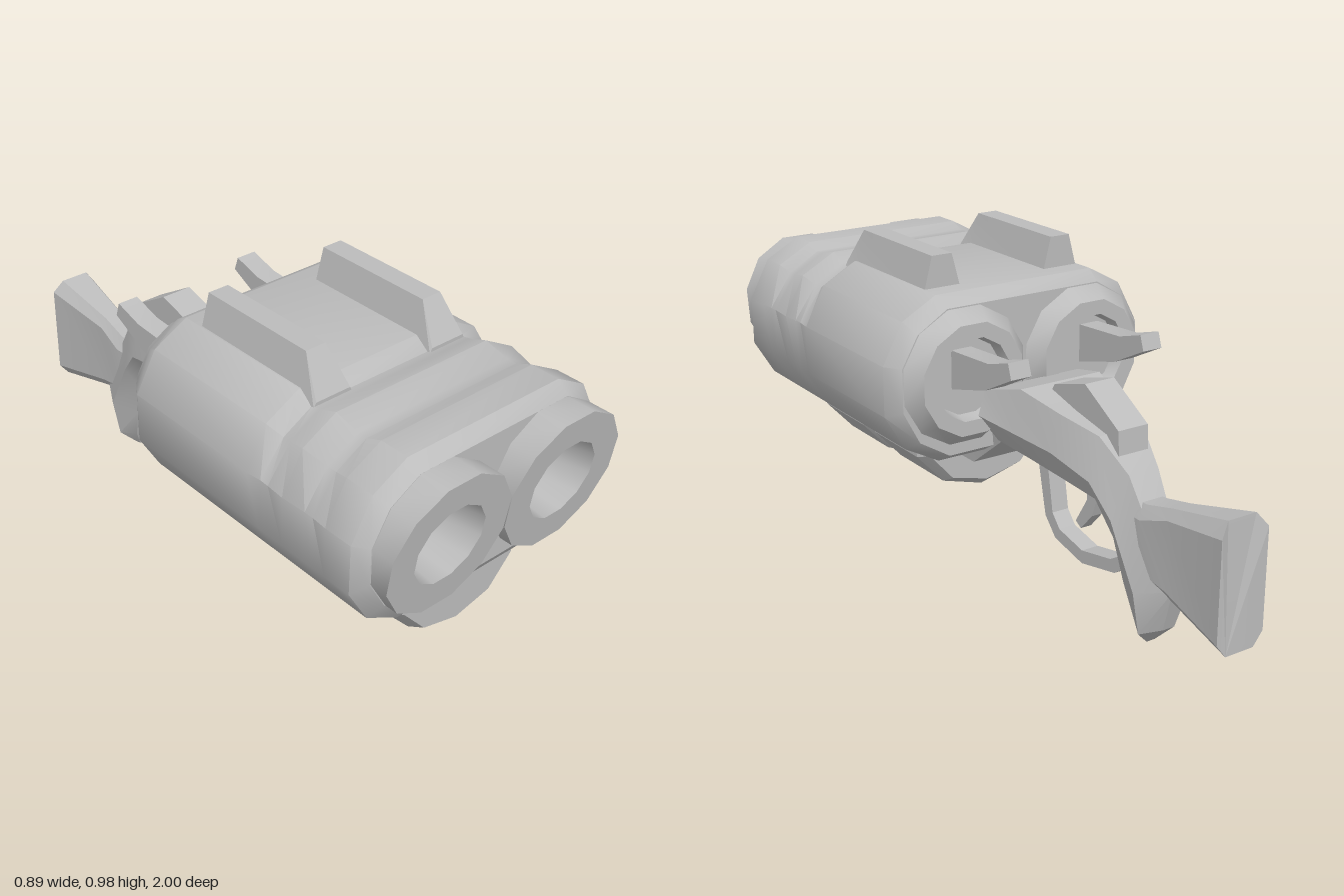
import * as THREE from 'three';
import { toCreasedNormals } from 'three/addons/utils/BufferGeometryUtils.js';

const grey = new THREE.MeshStandardMaterial({ color: 0xbcbcbc });
grey.name = 'grey metal';

function addPart(group, name, geometry, crease = 0.6) {
  const mesh = new THREE.Mesh(toCreasedNormals(geometry, crease), grey);
  mesh.name = name;
  group.add(mesh);
  return mesh;
}

// Full loop from its right half, listed bottom to top as [x, y, z?]
function mirrorLoop(half, z = 0) {
  const right = half.map(([x, y, pz]) => [x, y, pz ?? z]);
  const left = right.filter((p) => p[0] > 0).map(([x, y, pz]) => [-x, y, pz]).reverse();
  return [...right, ...left];
}

// Skin loops ordered from back (-z) to front (+z), with optional end caps
function loft(loops, capBack = true, capFront = true) {
  const n = loops[0].length;
  const index = [];
  for (let i = 0; i < loops.length - 1; i++) {
    for (let j = 0; j < n; j++) {
      const a = i * n + j, b = i * n + (j + 1) % n;
      index.push(a, b, b + n, a, b + n, a + n);
    }
  }
  const last = (loops.length - 1) * n;
  for (let j = 1; j < n - 1; j++) {
    if (capBack) index.push(0, j + 1, j);
    if (capFront) index.push(last, last + j, last + j + 1);
  }
  const g = new THREE.BufferGeometry();
  g.setAttribute('position', new THREE.Float32BufferAttribute(loops.flat(2), 3));
  g.setIndex(index);
  return g;
}

// Side outline given as [z, y], extruded across x
function sidePlate(outline, width, x = 0) {
  const shape = new THREE.Shape(outline.map(([z, y]) => new THREE.Vector2(-z, y)));
  const g = new THREE.ExtrudeGeometry(shape, { depth: width, bevelEnabled: false });
  return g.rotateY(Math.PI / 2).translate(x - width / 2, 0, 0);
}

// Twelve-sided turned part along z, profile given as [radius, z]
function turned(profile, x, y) {
  const pts = profile.map(([r, z]) => new THREE.Vector2(r, z));
  return new THREE.LatheGeometry(pts, 12, Math.PI / 12).rotateX(Math.PI / 2).translate(x, y, 0);
}

export function createModel() {
  const model = new THREE.Group();
  model.name = 'doubleBarrelLauncher';
  const cx = 0.207, cy = 0.645;

  // Wide shroud with two shallow grooves across its top
  const bodyLoop = (z, dip = 0) => mirrorLoop([
    [0.27, 0.38], [0.38, 0.44], [0.445, 0.55], [0.445 - dip * 0.2, 0.7],
    [0.38 - dip * 0.6, 0.82 - dip * 0.8], [0.27, 0.88 - dip],
  ], z);
  const rearLoop = mirrorLoop([[0.262, 0.41], [0.36, 0.47], [0.412, 0.57],
    [0.412, 0.7], [0.36, 0.79], [0.262, 0.85]], -0.04);
  const frontLoop = mirrorLoop([[0.264, 0.44], [0.36, 0.495], [0.415, 0.59],
    [0.415, 0.7], [0.36, 0.795], [0.264, 0.85]], 0.91);
  const grooves = [[0.01, 0], [0.48, 0], [0.53, 0.027], [0.56, 0.022], [0.62, 0],
    [0.7, 0.02], [0.73, 0.02], [0.78, 0], [0.87, 0]];
  addPart(model, 'shroud',
    loft([rearLoop, ...grooves.map(([z, d]) => bodyLoop(z, d)), frontLoop], true, false));

  // Front plate around the barrels
  const plate = new THREE.Shape(frontLoop.map(([x, y]) => new THREE.Vector2(x, y)));
  for (const s of [-1, 1]) {
    plate.holes.push(new THREE.Path().absarc(s * cx, cy, 0.15, 0, Math.PI * 2, true));
  }
  addPart(model, 'frontPlate', new THREE.ShapeGeometry(plate).translate(0, 0, 0.91));

  for (const s of [-1, 1]) {
    const side = s > 0 ? 'left' : 'right';

    // Barrel with a slanted muzzle and a tapering bore
    const barrel = turned([[0.212, 0.88], [0.212, 1], [0.121, 1], [0.09, 0.66], [0, 0.66]], s * cx, cy);
    const p = barrel.attributes.position;
    for (let i = 0; i < p.count; i++) {
      if (p.getZ(i) > 0.95) p.setZ(i, 1 - (0.85 - p.getY(i)) * 0.14);
    }
    addPart(model, side + 'Barrel', barrel);

    // Rear boss with a recessed centre
    addPart(model, side + 'RearBoss',
      turned([[0, -0.05], [0.115, -0.05], [0.125, -0.09], [0.17, -0.09], [0.212, -0.035]], s * cx, cy));

    // Cocking lever
    addPart(model, side + 'Lever', sidePlate([[-0.03, 0.73], [-0.24, 0.742], [-0.335, 0.77],
      [-0.35, 0.725], [-0.22, 0.66], [-0.03, 0.61]], 0.066, s * 0.225), 0.3);

    // Top rail with a sloped nose
    const railLoop = (z, base, top, y) => mirrorLoop([[base, 0.85], [top, y]], z);
    const rail = loft([railLoop(0.075, 0.066, 0.033, 0.975), railLoop(0.47, 0.066, 0.033, 0.975),
      railLoop(0.54, 0.066, 0.058, 0.865)]);
    addPart(model, side + 'Rail', rail.translate(s * cx, 0, 0), 0.3);
  }

  // Fore grip in two chamfered blocks split by a groove
  const gripLoop = (z, inset) => {
    const outer = [[0, 0.18], [0.14, 0.22], [0.232, 0.32], [0.232, 0.42]];
    const inner = [[0, 0.207], [0.125, 0.237], [0.205, 0.327], [0.205, 0.42]];
    return mirrorLoop(outer.map(([x, y], i) =>
      [x + (inner[i][0] - x) * inset, y + (inner[i][1] - y) * inset]), z);
  };
  addPart(model, 'foreGrip', loft([[0.165, 1], [0.2, 0], [0.46, 0], [0.49, 1], [0.51, 1],
    [0.54, 0], [0.79, 0], [0.835, 1]].map(([z, k]) => gripLoop(z, k))), 0.45);

  // Receiver block under the rear of the shroud
  const receiverLoop = (z, bottom) => mirrorLoop([[0.11, bottom], [0.125, 0.5]], z);
  addPart(model, 'receiver',
    loft([receiverLoop(-0.09, 0.44), receiverLoop(0.07, 0.32), receiverLoop(0.2, 0.32)]), 0.3);

  // Handle: hexagonal stations as top, middle and bottom [halfWidth, y, z]
  const stations = [
    [[0.165, 0.605, -0.08], [0.188, 0.53, -0.08], [0.12, 0.44, -0.08]],
    [[0.138, 0.64, -0.22], [0.158, 0.51, -0.22], [0.105, 0.425, -0.22]],
    [[0.105, 0.603, -0.36], [0.128, 0.49, -0.35], [0.09, 0.408, -0.34]],
    [[0.075, 0.575, -0.5], [0.108, 0.45, -0.5], [0.07, 0.385, -0.48]],
    [[0.05, 0.49, -0.6], [0.09, 0.36, -0.575], [0.055, 0.29, -0.545]],
    [[0.03, 0.21, -0.77], [0.083, 0.18, -0.67], [0.045, 0.17, -0.58]],
    [[0.02, 0.075, -0.725], [0.06, 0.05, -0.67], [0.03, 0.06, -0.615]],
    [[0.004, 0.015, -0.665], [0.012, 0.004, -0.65], [0.004, 0, -0.635]],
  ];
  addPart(model, 'handle', loft(stations.map((s) => mirrorLoop([...s].reverse())).reverse()), 0.4);

  // Butt flaring out to the rear
  const buttLoop = (z, bottom, top, w, edge) => mirrorLoop([[w * 0.6, bottom],
    [w, bottom + edge], [w, top - edge], [w * 0.6, top, z < -0.95 ? z + 0.015 : z]], z);
  addPart(model, 'butt', loft([buttLoop(-1, 0.13, 0.502, 0.078, 0.04),
    buttLoop(-0.76, 0.185, 0.448, 0.05, 0.03), buttLoop(-0.66, 0.2, 0.425, 0.06, 0.04),
    buttLoop(-0.58, 0.25, 0.42, 0.05, 0.04)]), 0.3);

  // Top latch, trigger guard and trigger
  addPart(model, 'topLatch', sidePlate([[-0.24, 0.62], [-0.26, 0.65], [-0.4, 0.69],
    [-0.55, 0.6], [-0.555, 0.53], [-0.48, 0.55]], 0.1), 0.3);
  addPart(model, 'triggerGuard', sidePlate([[-0.14, 0.44], [-0.19, 0.22], [-0.24, 0.165],
    [-0.37, 0.135], [-0.52, 0.165], [-0.59, 0.215], [-0.57, 0.24], [-0.5, 0.2], [-0.37, 0.175],
    [-0.26, 0.2], [-0.225, 0.24], [-0.19, 0.44]], 0.056), 0.3);
  addPart(model, 'trigger', sidePlate([[-0.38, 0.42], [-0.375, 0.33], [-0.325, 0.25],
    [-0.35, 0.235], [-0.4, 0.29], [-0.45, 0.42]], 0.036), 0.3);

  return model;
}
